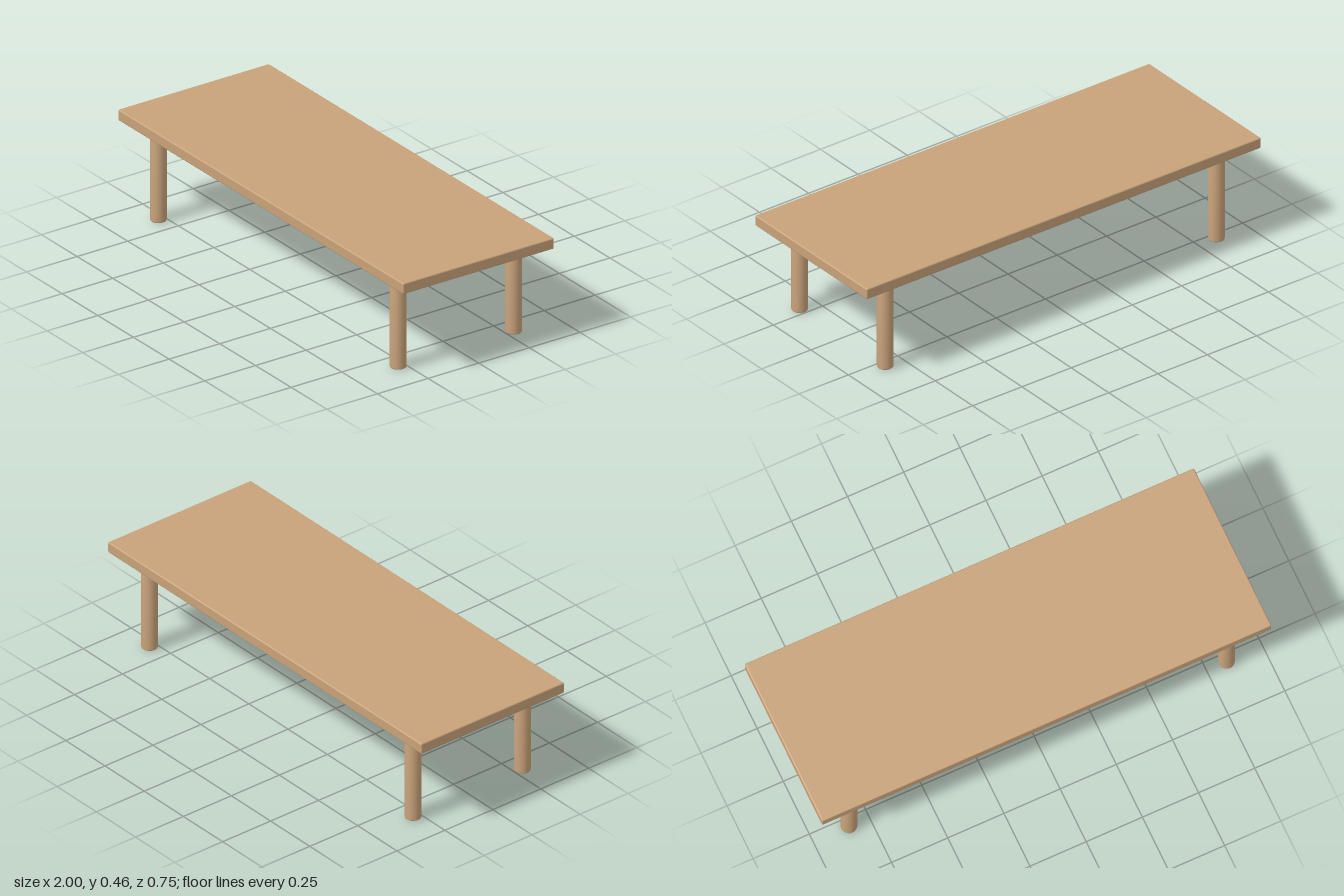
import * as THREE from 'three';
import { RoundedBoxGeometry } from 'three/addons/geometries/RoundedBoxGeometry.js';

const TOP_Y = 0.457, TOP_THICK = 0.049, EDGE = 0.006;
const LEG_R = 0.034, LEG_X = 0.84, LEG_Z = 0.285;

// Round leg with softly rounded rims, closed at both ends
function legGeometry(height) {
  const pts = [new THREE.Vector2(0, 0)];
  const steps = 4;
  for (let i = 0; i <= steps; i++) {
    const a = (i / steps) * Math.PI / 2;
    pts.push(new THREE.Vector2(LEG_R - EDGE + EDGE * Math.sin(a), EDGE - EDGE * Math.cos(a)));
  }
  pts.push(new THREE.Vector2(LEG_R, height), new THREE.Vector2(0, height));
  return new THREE.LatheGeometry(pts, 40);
}

export function createModel() {
  const table = new THREE.Group();
  table.name = 'table';
  const wood = new THREE.MeshStandardMaterial({ color: 0xc8a27a });

  // Table top
  const top = new THREE.Mesh(new RoundedBoxGeometry(2, TOP_THICK, 0.746, 3, EDGE), wood);
  top.name = 'tableTop';
  top.position.y = TOP_Y - TOP_THICK / 2;
  table.add(top);

  // Four legs, meeting the underside of the top
  const geometry = legGeometry(TOP_Y - TOP_THICK);
  for (const [side, sx] of [['Left', 1], ['Right', -1]]) {
    for (const [end, sz] of [['front', 1], ['back', -1]]) {
      const leg = new THREE.Mesh(geometry, wood);
      leg.name = `${end}${side}Leg`;
      leg.position.set(sx * LEG_X, 0, sz * LEG_Z);
      table.add(leg);
    }
  }
  return table;
}
